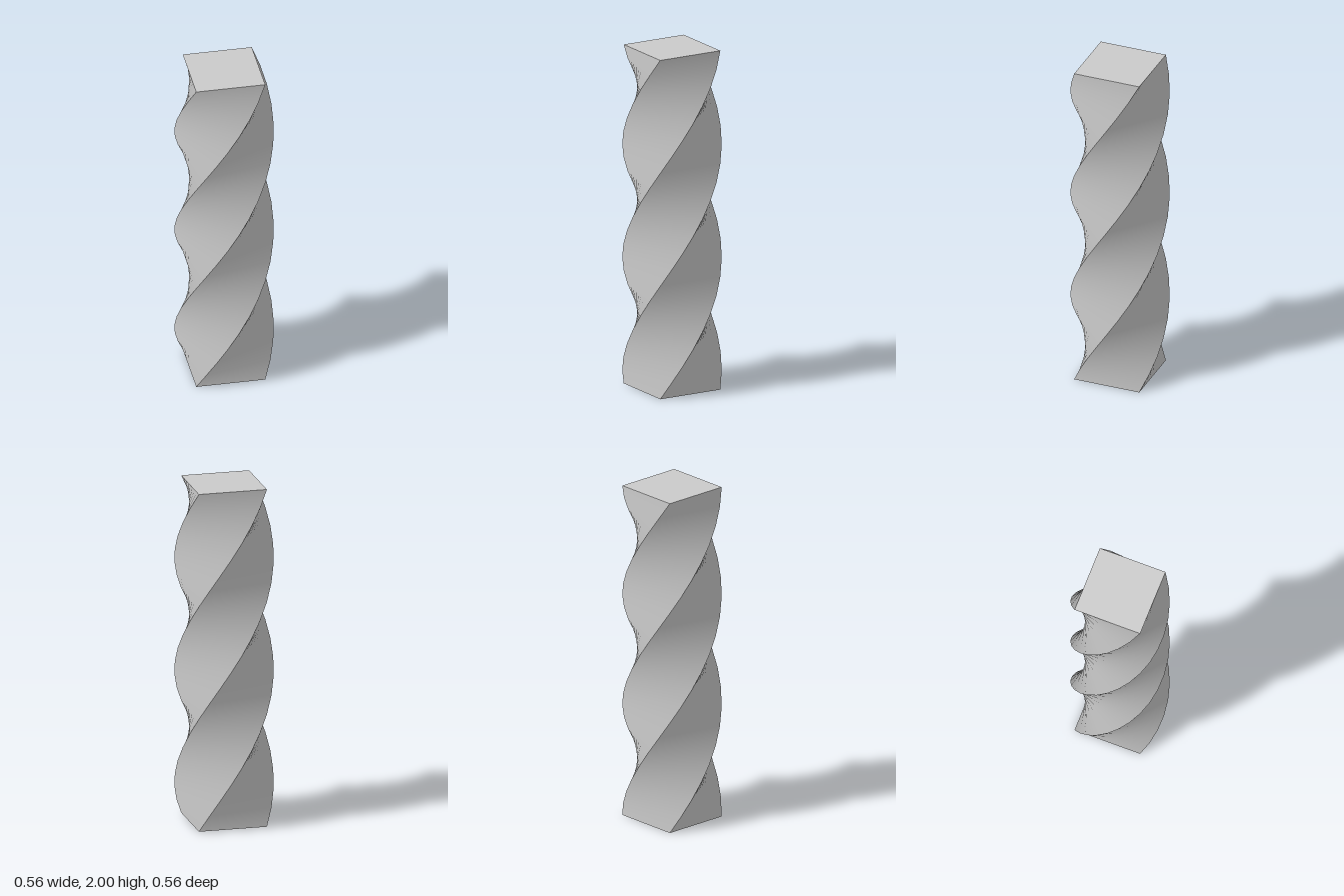
import * as THREE from 'three';

const HEIGHT = 2;
const SIDE = 0.4;
const LAYERS = 21;             // seven layers per quarter turn
const TWIST = Math.PI * 1.5;   // three quarter turns from bottom to top

// Turns each level of a geometry about the y axis in proportion to its height.
function twist(geometry, height, angle) {
  const { position, normal } = geometry.attributes;
  const up = new THREE.Vector3(0, 1, 0);
  const v = new THREE.Vector3();
  for (let i = 0; i < position.count; i++) {
    const turn = (position.getY(i) / height) * angle;
    v.fromBufferAttribute(position, i).applyAxisAngle(up, turn);
    position.setXYZ(i, v.x, v.y, v.z);
    v.fromBufferAttribute(normal, i).applyAxisAngle(up, turn);
    normal.setXYZ(i, v.x, v.y, v.z);
  }
  return geometry;
}

export function createModel() {
  const group = new THREE.Group();
  group.name = 'twistedColumn';

  // Square column, smooth along each side with sharp corner edges
  const geometry = new THREE.BoxGeometry(SIDE, HEIGHT, SIDE, 8, LAYERS, 8);
  geometry.translate(0, HEIGHT / 2, 0);
  const column = new THREE.Mesh(
    twist(geometry, HEIGHT, TWIST),
    new THREE.MeshStandardMaterial({ color: 0xcccccc })
  );
  column.name = 'columnShaft';
  group.add(column);
  return group;
}
